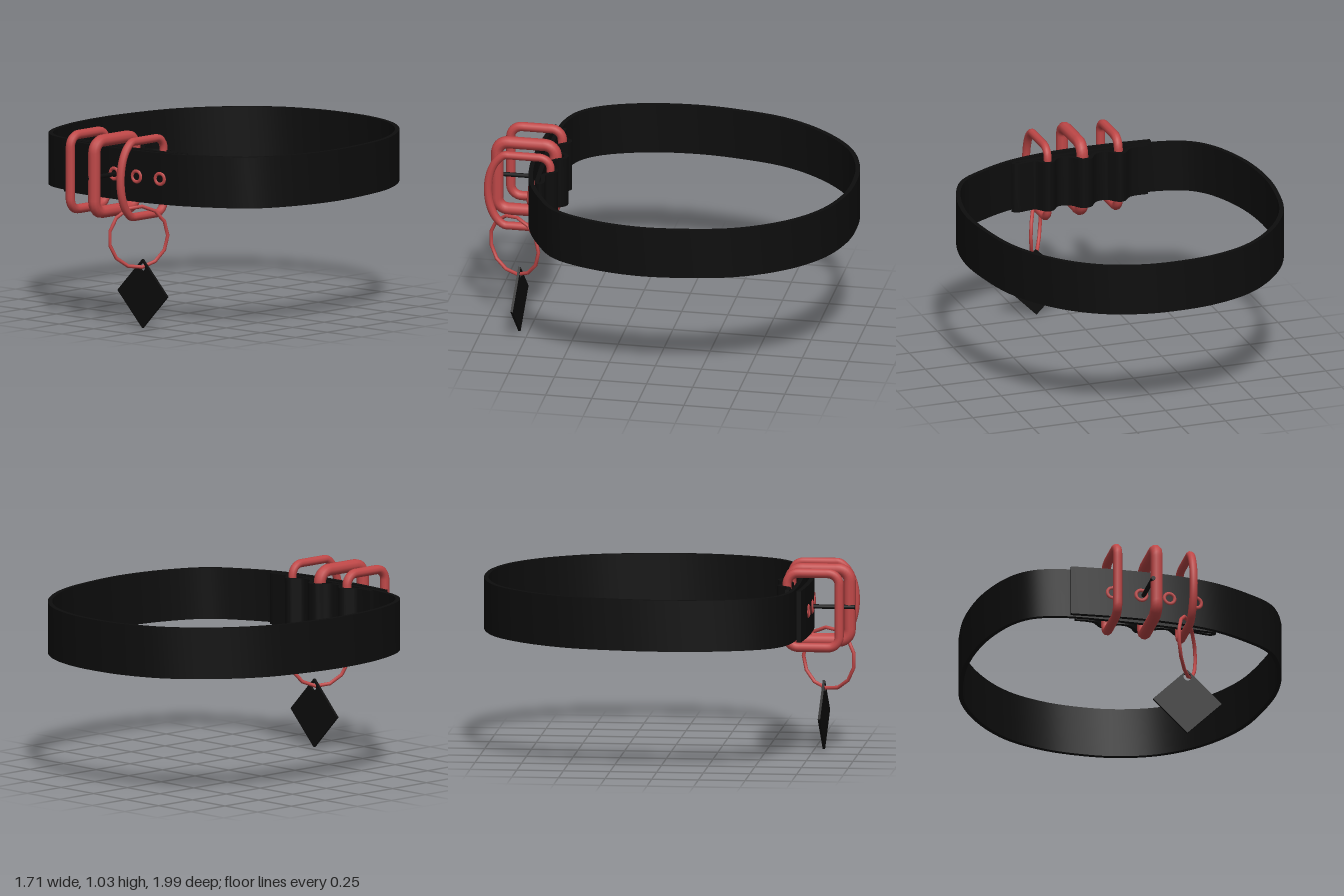
import * as THREE from 'three';
import { toCreasedNormals } from 'three/addons/utils/BufferGeometryUtils.js';

const black = new THREE.MeshStandardMaterial({ color: 0x0d0d0d });
const red = new THREE.MeshStandardMaterial({ color: 0xc04848 });

function add(parent, name, geometry, material) {
  const mesh = new THREE.Mesh(geometry, material);
  mesh.name = name;
  parent.add(mesh);
  return mesh;
}

// Upright band: offsets a path of [x, z] points to both sides and extrudes it in y
function bandGeometry(path, thickness, bottom, top, steps) {
  const curve = new THREE.CatmullRomCurve3(path.map(([x, z]) => new THREE.Vector3(x, z, 0)));
  const left = [], right = [];
  for (let i = 0; i <= steps; i++) {
    const p = curve.getPoint(i / steps), t = curve.getTangent(i / steps);
    const n = new THREE.Vector2(-t.y, t.x).multiplyScalar(thickness / 2);
    left.push(new THREE.Vector2(p.x + n.x, p.y + n.y));
    right.unshift(new THREE.Vector2(p.x - n.x, p.y - n.y));
  }
  const geo = new THREE.ExtrudeGeometry(new THREE.Shape([...left, ...right]),
    { depth: top - bottom, bevelEnabled: false });
  geo.rotateX(Math.PI / 2).translate(0, top, 0);
  return toCreasedNormals(geo, 0.6);
}

// Closed wire ring in the y-z plane, from a shape drawn in (z, y)
function wireGeometry(shape, x, radius) {
  const pts = shape.getSpacedPoints(72).slice(0, -1).map(p => new THREE.Vector3(x, p.y, p.x));
  return new THREE.TubeGeometry(new THREE.CatmullRomCurve3(pts, true), 96, radius, 10, true);
}

function buckleShape(z0, z1, y0, y1, r, curved) {
  const s = new THREE.Shape();
  s.moveTo(z0 + r, y0);
  if (curved) {
    s.lineTo(z1 - 0.09, y0);
    s.bezierCurveTo(z1 + 0.03, y0 + 0.06, z1 + 0.03, y1 - 0.06, z1 - 0.09, y1);
  } else {
    s.lineTo(z1 - r, y0);
    s.absarc(z1 - r, y0 + r, r, -Math.PI / 2, 0, false);
    s.lineTo(z1, y1 - r);
    s.absarc(z1 - r, y1 - r, r, 0, Math.PI / 2, false);
  }
  s.lineTo(z0 + r, y1);
  s.absarc(z0 + r, y1 - r, r, Math.PI / 2, Math.PI, false);
  s.lineTo(z0, y0 + r);
  s.absarc(z0 + r, y0 + r, r, Math.PI, Math.PI * 1.5, false);
  return s;
}

export function createModel() {
  const model = new THREE.Group();
  model.name = 'buckledCollar';
  const bottom = 0.668, top = 0.944, midY = 0.805;

  // Main strap, from its free tip in front all the way round to the buckle end
  add(model, 'strap', bandGeometry([
    [-0.45, 0.73], [-0.25, 0.745], [-0.03, 0.75], [0.16, 0.738], [0.35, 0.7], [0.53, 0.62],
    [0.69, 0.51], [0.79, 0.31], [0.84, 0.05], [0.825, -0.2], [0.76, -0.48], [0.61, -0.73],
    [0.42, -0.89], [0.2, -0.97], [0, -0.986], [-0.2, -0.965], [-0.42, -0.88], [-0.62, -0.7],
    [-0.76, -0.47], [-0.825, -0.2], [-0.844, 0.03], [-0.815, 0.3], [-0.73, 0.53],
    [-0.64, 0.63], [-0.5, 0.682], [-0.25, 0.697], [0, 0.693], [0.2, 0.683], [0.32, 0.676]
  ], 0.024, bottom, top, 130), black);

  // Folded end that curls back and arches over each ring bar
  const fold = [[0.3, 0.679], [0.335, 0.674], [0.352, 0.66], [0.335, 0.646], [0.28, 0.652]];
  for (const [x, half, z] of [[0.168, 0.036, 0.602], [-0.035, 0.052, 0.586], [-0.24, 0.036, 0.604]]) {
    fold.push([x + half * 1.7, 0.657], [x + half, 0.632], [x + half * 0.5, z + 0.008], [x, z],
      [x - half * 0.5, z + 0.008], [x - half, 0.632], [x - half * 1.7, 0.657]);
  }
  fold.push([-0.35, 0.666], [-0.41, 0.663]);
  add(model, 'foldedEnd', bandGeometry(fold, 0.022, bottom, top, 120), black);

  // Two square rings and one with a bowed front
  for (const [name, x, z0, z1, r, curved] of [
    ['rightRing', -0.238, 0.645, 0.925, 0.025, false],
    ['middleBuckle', -0.033, 0.642, 0.96, 0.033, false],
    ['leftRing', 0.167, 0.632, 0.972, 0.022, true]
  ]) {
    add(model, name, wireGeometry(buckleShape(z0, z1, 0.585 + r, 1.035 - r, 0.06, curved), x, r), red);
  }

  // Buckle pin with the eye that turns on the rear bar
  const pin = add(model, 'pin', new THREE.CylinderGeometry(0.012, 0.012, 0.32, 10), black);
  pin.rotation.x = Math.PI / 2;
  pin.position.set(-0.058, midY, 0.83);
  const eye = add(model, 'pinEye', new THREE.TorusGeometry(0.044, 0.012, 8, 20), black);
  eye.rotation.x = Math.PI / 2;
  eye.position.set(-0.033, midY, 0.645);

  // Eyelets along the strap tip
  for (const [x, z, turn] of [[-0.225, 0.745, -0.05], [-0.07, 0.75, 0], [0.085, 0.744, 0.05], [0.235, 0.726, 0.16]]) {
    const eyelet = add(model, 'eyelet', new THREE.TorusGeometry(0.029, 0.0125, 8, 20), red);
    eyelet.scale.z = 1.7;
    eyelet.rotation.y = turn;
    eyelet.position.set(x, midY, z);
  }

  // Hanging ring
  const ring = add(model, 'hangingRing', new THREE.TorusGeometry(0.165, 0.01, 8, 13), red);
  ring.rotation.y = 1.07;
  ring.position.set(0.165, 0.495, 0.828);

  // Diamond tag with a hole in its upper corner
  const d = 0.186;
  const outline = new THREE.Shape([[0, -d], [d, 0], [0, d], [-d, 0]].map(([x, y]) => new THREE.Vector2(x, y)));
  const hole = new THREE.Path();
  hole.absarc(0, 0.143, 0.021, 0, Math.PI * 2, true);
  outline.holes.push(hole);
  const tagGeo = new THREE.ExtrudeGeometry(outline, { depth: 0.013, bevelEnabled: false, curveSegments: 12 });
  const tag = add(model, 'tag', tagGeo.translate(0, 0, -0.0065), black);
  tag.rotation.y = -0.04;
  tag.position.set(0.172, d + 0.002, 0.8);

  return model;
}
